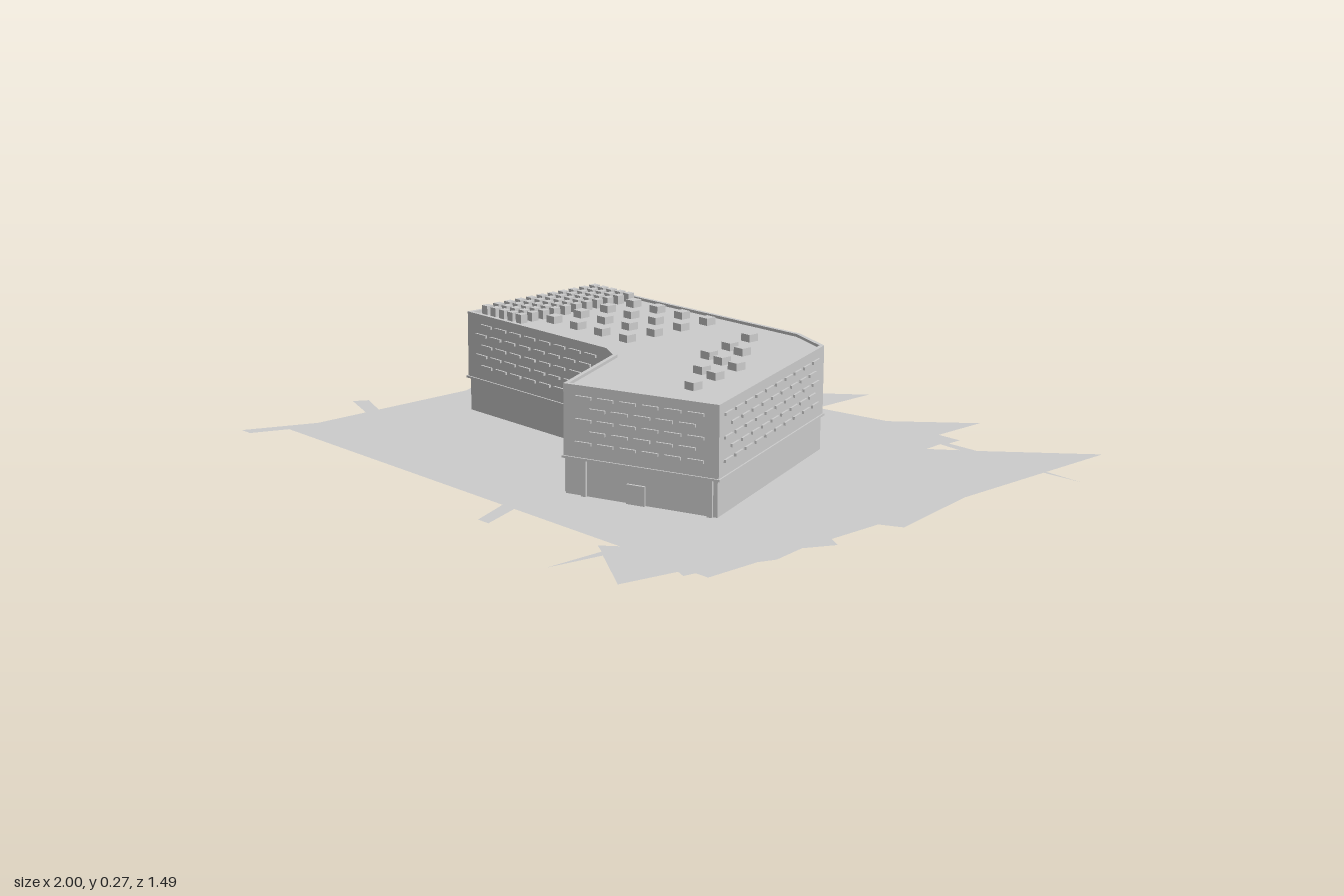
import * as THREE from 'three';
import { mergeGeometries } from 'three/addons/utils/BufferGeometryUtils.js';

const material = new THREE.MeshStandardMaterial({ color: 0xcccccc, side: THREE.DoubleSide });
material.name = 'pale grey';

// Building outline as [x, z], walked around the walls
const footprint = [
  [-0.41, -0.33], [0.31, -0.34], [0.43, -0.295], [0.645, 0.26],
  [0.285, 0.385], [0.165, 0.13], [0.11, 0.1], [-0.405, 0.1],
];

// Ground outline as [x, z]
const groundOutline = [
  [-1, -0.69], [-0.705, -0.69], [-0.26, -0.685], [-0.19, -0.75], [-0.19, -0.685], [-0.11, -0.685],
  [-0.11, -0.57], [-0.04, -0.565], [0.17, -0.75], [0.17, -0.56], [0.37, -0.595], [0.535, -0.75],
  [0.535, -0.595], [0.6, -0.595], [0.6, -0.555], [0.685, -0.555], [0.9, -0.75], [0.9, -0.54],
  [1, -0.533], [0.9, -0.53], [0.9, -0.25], [0.95, 0.01], [0.9, 0.035], [0.9, 0.18],
  [0.935, 0.2], [0.9, 0.27], [0.915, 0.36], [0.9, 0.4], [0.9, 0.54], [0.865, 0.54],
  [0.86, 0.57], [0.835, 0.56], [0.81, 0.7], [0.66, 0.605], [0.64, 0.74], [0.64, 0.59],
  [0.605, 0.57], [0.64, 0.54], [0.3, 0.54], [0.34, 0.645], [0.305, 0.645], [0.26, 0.54],
  [-0.555, 0.54], [-0.59, 0.63], [-0.625, 0.63], [-0.555, 0.455], [-0.555, 0.31], [-0.665, 0.27],
  [-0.645, 0.235], [-0.555, 0.27], [-0.555, -0.01], [-0.665, -0.245], [-0.635, -0.26], [-0.555, -0.09],
  [-0.555, -0.17], [-0.62, -0.36], [-0.705, -0.36], [-0.705, -0.39], [-1, -0.39],
];
const groundHoles = [
  [[-0.11, -0.55], [-0.06, -0.54], [-0.11, -0.5]],
  [[0.17, -0.49], [0.24, -0.49], [0.2, -0.46], [0.17, -0.465]],
  [[0.59, -0.535], [0.655, -0.53], [0.595, -0.48]],
];

const toVectors = (points) => points.map(([x, z]) => new THREE.Vector2(x, -z));

function planShape(points, holes = []) {
  const shape = new THREE.Shape(toVectors(points));
  holes.forEach((hole) => shape.holes.push(new THREE.Path(toVectors(hole))));
  return shape;
}

// Upright prism from a plan outline
function prism(points, bottom, top, holes) {
  const geometry = new THREE.ExtrudeGeometry(planShape(points, holes), { depth: top - bottom, bevelEnabled: false });
  return geometry.rotateX(-Math.PI / 2).translate(0, bottom, 0);
}

// Move every wall of the outline outward by a distance, mitring the corners
function offset(points, distance) {
  const normal = (a, b) => {
    const length = Math.hypot(b[0] - a[0], b[1] - a[1]);
    return [(b[1] - a[1]) / length, -(b[0] - a[0]) / length];
  };
  return points.map((p, i) => {
    const m = normal(points.at(i - 1), p);
    const n = normal(p, points[(i + 1) % points.length]);
    const scale = distance / (1 + m[0] * n[0] + m[1] * n[1]);
    return [p[0] + (m[0] + n[0]) * scale, p[1] + (m[1] + n[1]) * scale];
  });
}

// Box sitting on a wall, centred at a distance along it
function onWall(wall, along, width, y, height, depth) {
  const a = footprint[wall];
  const b = footprint[(wall + 1) % footprint.length];
  const angle = Math.atan2(b[1] - a[1], b[0] - a[0]);
  return new THREE.BoxGeometry(width, height, depth)
    .translate(along, y + height / 2, 0)
    .rotateY(-angle)
    .translate(a[0], 0, a[1]);
}

const wallLength = (wall) => {
  const a = footprint[wall];
  const b = footprint[(wall + 1) % footprint.length];
  return Math.hypot(b[0] - a[0], b[1] - a[1]);
};

const box = (x, y, z, w, h, d) => new THREE.BoxGeometry(w, h, d).translate(x, y + h / 2, z);

export function createModel() {
  const model = new THREE.Group();
  const add = (name, geometry) => {
    const mesh = new THREE.Mesh(geometry, material);
    mesh.name = name;
    model.add(mesh);
  };

  // Site
  add('ground', new THREE.ShapeGeometry(planShape(groundOutline, groundHoles)).rotateX(-Math.PI / 2));

  // Main storeys, floor band and roof edge
  add('groundFloor', prism(offset(footprint, -0.004), 0, 0.085));
  add('floorBand', prism(offset(footprint, 0.004), 0.083, 0.088));
  add('upperFloors', prism(footprint, 0.088, 0.245));
  add('parapet', prism(footprint, 0.245, 0.252, [offset(footprint, -0.01)]));

  // Staggered window hoods on the long walls
  const hoods = [];
  for (const wall of [0, 2, 3, 4, 6, 7]) {
    const length = wallLength(wall);
    for (let row = 0; row < 5; row++) {
      const start = 0.035 + (row % 2) * 0.02;
      for (let s = start; s + 0.04 < length - 0.02; s += 0.055) {
        hoods.push(onWall(wall, s + 0.02, 0.04, 0.118 + row * 0.026, 0.007, 0.01));
      }
    }
  }
  add('windowHoods', mergeGeometries(hoods));

  // Doors and piers: wall, distance along it, width, height
  const openings = [
    [6, 0.075, 0.07, 0.05], [4, 0.12, 0.05, 0.05], [3, 0.2, 0.045, 0.045],
    [3, 0.02, 0.012, 0.083], [3, 0.33, 0.012, 0.083], [4, 0.02, 0.012, 0.083],
    [4, 0.06, 0.012, 0.083], [1, 0.06, 0.04, 0.083],
  ];
  add('doorsAndPiers', mergeGeometries(openings.map(([wall, s, w, h]) => onWall(wall, s, w, 0, h, 0.006))));

  // Round entrance lobby
  add('entranceDrum', new THREE.CylinderGeometry(0.056, 0.056, 0.085, 32).translate(0.137, 0.0425, 0.155));

  // Rooflights: dense small field, wide grid and scattered wing
  const small = [];
  for (let i = 0; i < 5; i++) {
    for (let j = 0; j < 11; j++) small.push(box(-0.375 + i * 0.0325, 0.245, -0.295 + j * 0.0355, 0.02, 0.022, 0.02));
  }
  add('smallRooflights', mergeGeometries(small));
  const large = [];
  for (const x of [-0.193, -0.106, -0.018, 0.071]) {
    for (const z of [-0.265, -0.177, -0.09, -0.002]) large.push(box(x, 0.245, z, 0.028, 0.018, 0.028));
  }
  const scattered = [
    [0.26, -0.22], [0.29, -0.125], [0.345, -0.11], [0.318, -0.03], [0.375, -0.015],
    [0.434, -0.002], [0.405, 0.078], [0.462, 0.092], [0.493, 0.19],
  ];
  scattered.forEach(([x, z]) => large.push(box(x, 0.245, z, 0.028, 0.018, 0.028)));
  add('largeRooflights', mergeGeometries(large));

  // Detached outbuilding with a ledge along its back
  add('outbuilding', prism([[-0.793, -0.57], [-0.32, -0.56], [-0.32, -0.502], [-0.793, -0.51]], 0, 0.112));
  add('outbuildingLedge', box(-0.556, 0.092, -0.567, 0.43, 0.008, 0.012));

  return model;
}
